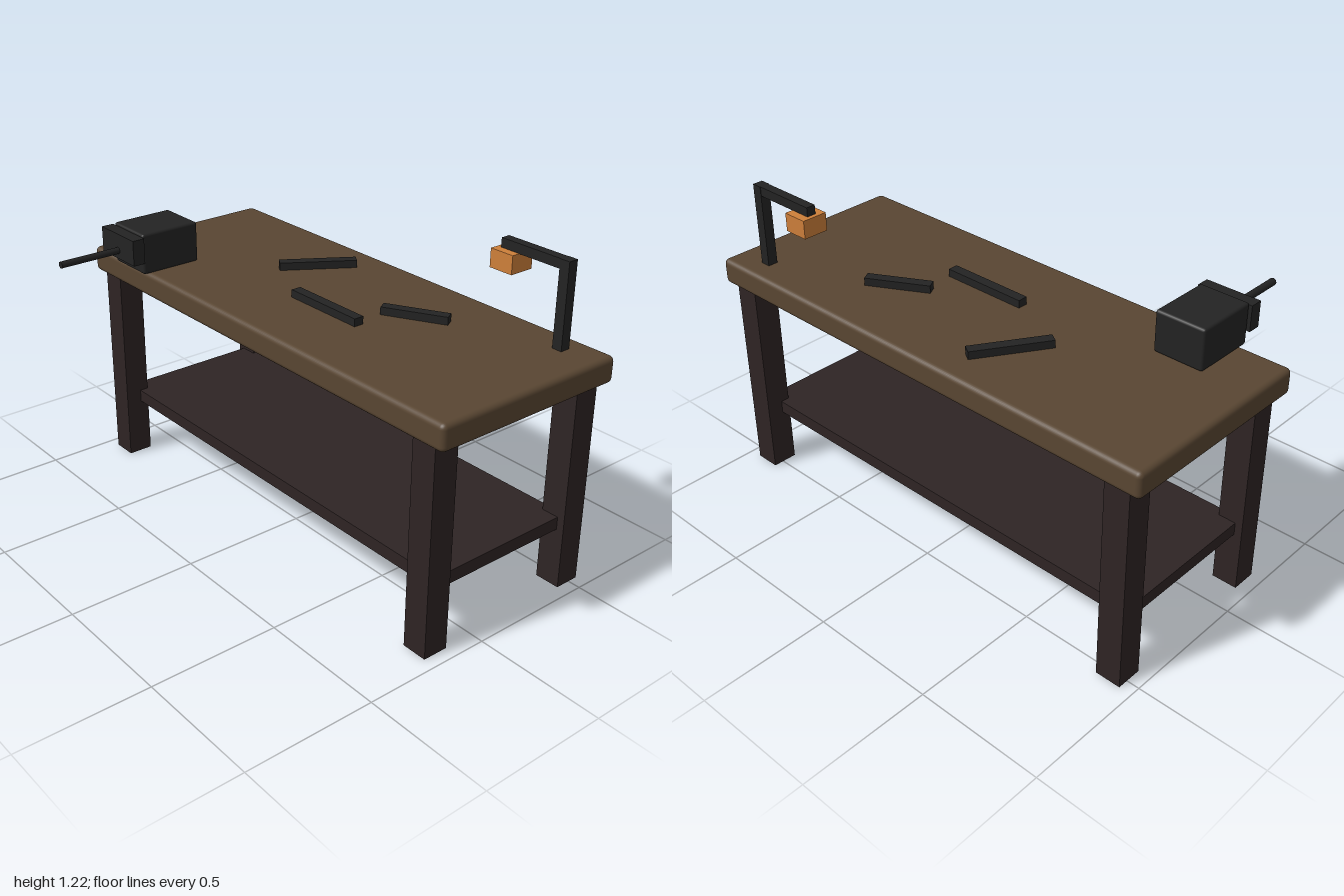
import * as THREE from 'three';
import { RoundedBoxGeometry } from 'three/addons/geometries/RoundedBoxGeometry.js';

const material = (name, color) => {
  const m = new THREE.MeshStandardMaterial({ color });
  m.name = name;
  return m;
};

export function createModel() {
  const model = new THREE.Group();
  model.name = 'workbench';

  const wood = material('brown wood', 0x594632);
  const darkWood = material('dark wood', 0x2e2424);
  const iron = material('black iron', 0x232323);
  const copper = material('copper', 0xcd7f3a);

  const add = (parent, name, geometry, mat, x, y, z) => {
    const mesh = new THREE.Mesh(geometry, mat);
    mesh.name = name;
    mesh.position.set(x, y, z);
    parent.add(mesh);
    return mesh;
  };
  const box = (w, h, d) => new THREE.BoxGeometry(w, h, d);
  const group = (name) => {
    const g = new THREE.Group();
    g.name = name;
    model.add(g);
    return g;
  };

  // Table: rounded top, four legs and a lower shelf
  const midZ = -0.16;
  const table = group('table');
  add(table, 'tableTop', new RoundedBoxGeometry(2, 0.1, 0.8, 3, 0.02), wood, 0, 0.85, midZ);
  for (const sx of [-1, 1]) {
    for (const sz of [-1, 1]) {
      add(table, 'leg', box(0.1, 0.8, 0.1), darkWood, sx * 0.9, 0.4, midZ + sz * 0.33);
    }
  }
  add(table, 'shelf', box(1.84, 0.05, 0.63), darkWood, 0, 0.255, midZ);

  // Vise at the front right corner
  const vise = group('vise');
  add(vise, 'viseBody', new RoundedBoxGeometry(0.2, 0.16, 0.25, 2, 0.01), iron, -0.7, 0.98, 0.135);
  add(vise, 'viseJaw', box(0.22, 0.1, 0.05), iron, -0.7, 1, 0.285);
  const handle = add(vise, 'viseHandle', new THREE.CylinderGeometry(0.014, 0.014, 0.25, 8), iron, -0.7, 0.983, 0.435);
  handle.rotation.x = Math.PI / 2;

  // Lamp: post, arm and hanging head
  const lamp = group('lamp');
  add(lamp, 'lampPost', box(0.04, 0.32, 0.04), iron, 0.845, 1.06, -0.46);
  add(lamp, 'lampArm', box(0.3, 0.036, 0.036), iron, 0.715, 1.202, -0.46);
  add(lamp, 'lampHead', box(0.1, 0.07, 0.1), copper, 0.598, 1.15, -0.46);

  // Tools lying on the top: x, z, length, turn
  const tools = group('tools');
  for (const [x, z, length, turn] of [
    [0.1, -0.06, 0.35, 0],
    [-0.25, -0.31, 0.3, 1],
    [0.35, -0.26, 0.25, 0.5],
  ]) {
    add(tools, 'tool', box(length, 0.03, 0.04), iron, x, 0.915, z).rotation.y = turn;
  }

  return model;
}
